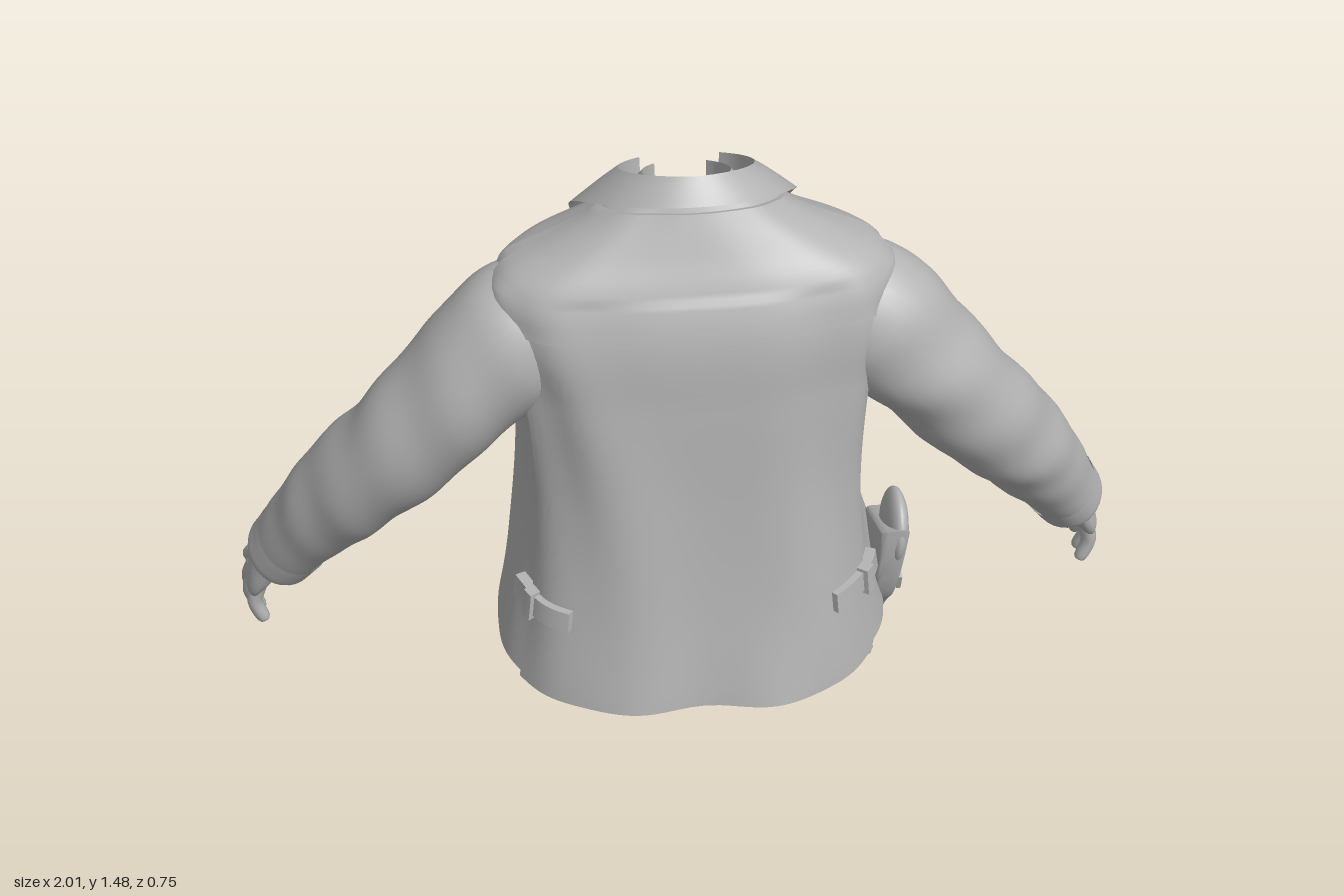
import * as THREE from 'three';
import { mergeVertices, toCreasedNormals } from 'three/addons/utils/BufferGeometryUtils.js';

const { sin, cos, abs, sign, PI, max, exp } = Math;
const cloth = new THREE.MeshStandardMaterial({ color: 0xb4b4b4, side: THREE.DoubleSide });
cloth.name = 'plain grey';

// Grid surface from a rule (u, v) -> [x, y, z]
function surface(fn, nu, nv) {
  const pos = [], idx = [];
  for (let j = 0; j <= nv; j++) for (let i = 0; i <= nu; i++) pos.push(...fn(i / nu, j / nv));
  for (let j = 0; j < nv; j++) for (let i = 0; i < nu; i++) {
    const a = j * (nu + 1) + i, b = a + nu + 1;
    idx.push(a, b, a + 1, b, b + 1, a + 1);
  }
  let g = new THREE.BufferGeometry();
  g.setAttribute('position', new THREE.Float32BufferAttribute(pos, 3));
  g.setIndex(idx);
  g = mergeVertices(g, 1e-5);
  g.computeVertexNormals();
  return g;
}

// Smooth interpolation through rows of numbers
function spline(rows, params) {
  const it = new THREE.CubicInterpolant(params, rows.flat(), rows[0].length);
  return t => Array.from(it.evaluate(t));
}

// Tube of elliptical rings; keys are [x, y, z, radius along z, radius across]
function loft(keys, nu = 20, nv = 24, wrinkle = 0) {
  const at = spline(keys, keys.map((k, i) => i)), n = keys.length - 1;
  return surface((u, v) => {
    const t = v * n, k = at(t);
    const p0 = at(max(0, t - 0.05)), p1 = at(Math.min(n, t + 0.05));
    const dir = new THREE.Vector3(p1[0] - p0[0], p1[1] - p0[1], p1[2] - p0[2]).normalize();
    const n1 = new THREE.Vector3(0, 0, 1).addScaledVector(dir, -dir.z).normalize();
    const n2 = dir.clone().cross(n1);
    const a = u * 2 * PI;
    const r = 1 + wrinkle * sin(PI * v) * (sin(v * 42 + 2 * sin(a)) + 0.7 * sin(v * 23 + 3 * a));
    const c = k[3] * r * cos(a), s = k[4] * r * sin(a);
    return [0, 1, 2].map(i => k[i] + n1.getComponent(i) * c + n2.getComponent(i) * s);
  }, nu, nv);
}

// Body shell: rows are [y, half width, front z, back z, tilt, front and back roundness];
// angle 0 is the chest centre (-z), flare swings the left front hem out over the holster
function shell(rows, folds, flare = 0) {
  const at = spline(rows, rows.map(r => r[0]));
  return (th, y, off = 0) => {
    const [, w, f, b, tilt, pf, pb] = at(y), s = sin(th), c = cos(th), zc = 0.03;
    const hem = max(0, (1 - y) / 0.7);
    const swing = hem ** 3 * exp(-(((th - 1) / 0.4) ** 2));
    off += folds * (sin(5 * th + 4 * y) + 0.7 * sin(9 * th - 6 * y)) * (y < 1.25 ? 1 : 0.4) + flare * swing;
    const p = c > 0 ? pf : pb;
    const x = (w + off) * sign(s) * abs(s) ** p;
    const depth = c > 0 ? f - zc - off : b - zc + off;
    let z = zc + depth * abs(c) ** p;
    if (c < 0) z -= folds * 3 * hem * hem * cos(2 * PI * x / 0.34) * c * c;
    return [x, y + tilt * z + flare * swing, z];
  };
}
const jacketAt = shell([
  [0.275, 0.43, -0.295, 0.355, -0.04, 0.8, 0.8],
  [0.50, 0.39, -0.285, 0.322, -0.03, 0.8, 0.75],
  [0.75, 0.365, -0.28, 0.297, 0, 0.8, 0.7],
  [1.00, 0.375, -0.255, 0.278, 0, 0.85, 0.6],
  [1.17, 0.40, -0.235, 0.26, 0, 1.1, 0.55],
  [1.265, 0.38, -0.21, 0.225, 0.03, 1.45, 0.6],
  [1.30, 0.30, -0.195, 0.2, 0.12, 1.45, 0.7],
  [1.335, 0.22, -0.175, 0.175, 0.25, 1.2, 0.8],
  [1.37, 0.155, -0.15, 0.15, 0.4, 0.9, 0.9]], 0.005, 0.05);
const shirtAt = shell([
  [0.45, 0.33, -0.272, 0.25, 0, 0.8, 0.8],
  [0.80, 0.33, -0.265, 0.25, 0, 0.8, 0.8],
  [1.17, 0.33, -0.215, 0.22, 0, 0.9, 0.8],
  [1.28, 0.17, -0.165, 0.15, 0.2, 0.9, 0.8],
  [1.33, 0.085, -0.14, 0.10, 0.45, 0.9, 0.9]], 0.002);

// Raised patch lying on a shell, its border tucked down onto the cloth
function patch(at, t0, t1, yLow, yHigh, off, nu = 24, nv = 24) {
  return toCreasedNormals(surface((u, v) => {
    const edge = u === 0 || u === 1 || v === 0 || v === 1;
    const fit = (q, n) => THREE.MathUtils.clamp((q * n - 1) / (n - 2), 0, 1);
    const a = fit(u, nu), lo = typeof yLow === 'function' ? yLow(a) : yLow;
    return at(t0 + (t1 - t0) * a, lo + (yHigh - lo) * fit(v, nv), edge ? 0 : off);
  }, nu, nv), 0.7);
}

// Folded collar: neck band up, over the top and down to the pointed leaf
function collar(sx, sz, dy) {
  return toCreasedNormals(surface((u, v) => {
    const keys = [[0.13, 0.14, 1.33, 0.45, 2.5], [0.14, 0.155, 1.41, 0.5, 2.5], [0.215, 0.195, 1.36, 0.4, 2.2]];
    const k = v < 0.5 ? 0 : 1, t = v * 2 - k;
    const m = keys[k].map((q, i) => q + (keys[k + 1][i] - q) * t);
    const side = abs(u * 2 - 1), leaf = k * t;
    const phi = (u * 2 - 1) * m[4], z = -0.02 + m[1] * sz * cos(phi) - 0.025 * leaf * side ** 4;
    const x = m[0] * sx * sin(phi) * (1 + 0.3 * leaf * side ** 4);
    const arch = 0.02 * sin(PI * v) * (k ? 1 : 0) * side;
    return [x, m[2] + m[3] * z - 0.075 * leaf * side ** 5 + arch + dy, z];
  }, 48, 12), 0.8);
}

export function createModel() {
  const model = new THREE.Group();
  const add = (name, geo, parent = model) => {
    const m = new THREE.Mesh(geo, cloth);
    m.name = name;
    parent.add(m);
    return m;
  };

  // Open-fronted jacket
  add('jacketBody', surface((u, v) => {
    const y = 0.275 + 1.095 * v, open = THREE.MathUtils.smoothstep(y, 1.0, 1.27) * 0.25;
    const start = 0.15 + open, end = 2 * PI - 0.18 - open;
    return jacketAt(start + (end - start) * u, y);
  }, 120, 64));
  add('backPanel', patch(jacketAt, 2.05, 2 * PI - 2.05, 0.272, 1.18, 0.008, 60, 50));
  add('backYoke', patch(jacketAt, 1.65, 2 * PI - 1.65, 1.165, 1.355, 0.011, 60, 24));
  add('jacketCollar', collar(1, 1, 0));

  // Shirt with placket and buttons
  add('shirt', surface((u, v) => shirtAt(u * 2 * PI, 0.45 + 0.88 * v), 80, 40));
  add('shirtCollar', collar(0.65, 0.85, -0.015));
  add('placket', patch(shirtAt, -0.09, 0.03, 0.45, 1.26, 0.007, 8, 30));
  for (let i = 0; i < 8; i++) {
    const b = add('shirtButton', new THREE.CylinderGeometry(0.011, 0.011, 0.01, 12));
    b.position.set(...shirtAt(-0.035, 0.49 + i * 0.103, 0.01));
    b.rotation.x = PI / 2;
  }

  for (const s of [1, -1]) {
    const side = s > 0 ? 'left' : 'right';
    const turn = a => (s > 0 ? a : 2 * PI - a);
    const mir = keys => keys.map(([x, ...rest]) => [x * s, ...rest]);

    // Pocket flap and waist strap with buckle
    add(side + 'PocketFlap', patch(jacketAt, turn(0.42), turn(1.2),
      a => 0.545 - 0.045 * (1 - abs(2 * a - 1)), 0.61, 0.012, 24, 10));
    add(side + 'WaistStrap', patch(jacketAt, turn(1.86), turn(2.48), 0.46, 0.507, 0.022, 20, 6));
    add(side + 'Buckle', patch(jacketAt, turn(2.06), turn(2.16), 0.452, 0.515, 0.032, 6, 6));

    // Sleeve and cuff
    const arm = new THREE.Group();
    arm.name = side + 'Arm';
    model.add(arm);
    add('sleeve', loft(mir([
      [0.26, 1.13, 0.08, 0.11, 0.12],
      [0.355, 1.1, 0.085, 0.145, 0.155],
      [0.485, 0.97, 0.08, 0.145, 0.135],
      [0.62, 0.80, 0.045, 0.135, 0.125],
      [0.74, 0.64, -0.03, 0.125, 0.113],
      [0.83, 0.50, -0.10, 0.105, 0.093],
      [0.90, 0.375, -0.16, 0.088, 0.077]]), 32, 80, 0.02), arm);
    add('cuff', loft(mir([
      [0.868, 0.432, -0.133, 0.098, 0.087],
      [0.885, 0.402, -0.147, 0.096, 0.084],
      [0.902, 0.372, -0.162, 0.09, 0.08],
      [0.904, 0.369, -0.163, 0.06, 0.05],
      [0.90, 0.376, -0.16, 0.045, 0.035]]), 32, 12), arm);

    // Hand: palm, four fingers and thumb
    add('palm', loft(mir([
      [0.885, 0.41, -0.145, 0.048, 0.038],
      [0.915, 0.355, -0.175, 0.048, 0.035],
      [0.942, 0.30, -0.215, 0.066, 0.034],
      [0.965, 0.25, -0.24, 0.064, 0.024],
      [0.97, 0.23, -0.248, 0.03, 0.01]]), 20, 20), arm);
    const fingers = [
      [[0.958, 0.28, -0.275], [0.98, 0.235, -0.33], [0.97, 0.195, -0.368]],
      [[0.966, 0.262, -0.265], [0.986, 0.19, -0.302], [0.973, 0.13, -0.333]],
      [[0.967, 0.25, -0.24], [0.984, 0.185, -0.26], [0.966, 0.127, -0.272]],
      [[0.96, 0.25, -0.205], [0.973, 0.195, -0.205], [0.957, 0.145, -0.203]],
      [[0.925, 0.33, -0.21], [0.897, 0.335, -0.285], [0.862, 0.31, -0.345]]];
    fingers.forEach(([a, b, c], i) => {
      const tip = c.map((q, j) => q + (q - b[j]) * 0.12);
      add(i < 4 ? 'finger' : 'thumb', loft(mir([
        [...a, 0.022, 0.021], [...b, 0.019, 0.018], [...c, 0.015, 0.015], [...tip, 0.001, 0.001]]), 10, 15), arm);
    });
  }

  // Holster hanging at the hip
  const holster = new THREE.Group();
  holster.name = 'holster';
  model.add(holster);
  const outline = new THREE.Shape();
  outline.moveTo(-0.10, 0.50);
  outline.quadraticCurveTo(-0.08, 0.33, -0.03, 0.27);
  outline.quadraticCurveTo(0.045, 0.19, 0.06, 0.11);
  outline.lineTo(0.07, 0.02);
  outline.lineTo(0.115, 0.01);
  outline.lineTo(0.145, 0.2);
  outline.quadraticCurveTo(0.14, 0.32, 0.09, 0.42);
  const body = new THREE.ExtrudeGeometry(outline, {
    depth: 0.025, bevelSize: 0.009, bevelThickness: 0.012, bevelSegments: 3, curveSegments: 10 });
  body.rotateY(PI / 2);
  const p = body.attributes.position;
  for (let i = 0; i < p.count; i++) {
    const y = p.getY(i), wide = 0.8 + y;
    p.setX(i, 0.42 + 0.06 * y + (p.getX(i) - 0.0125) * wide);
  }
  add('holsterBody', toCreasedNormals(body, 0.7), holster);
  const pad = add('holsterFlap', new THREE.SphereGeometry(1, 24, 16), holster);
  pad.scale.set(0.028, 0.09, 0.085);
  pad.position.set(0.46, 0.465, 0.025);
  pad.rotation.set(0.3, 0, -0.08);
  const band = add('holsterStrap', new THREE.BoxGeometry(0.01, 0.045, 0.16), holster);
  band.position.set(0.47, 0.36, -0.005);
  band.rotation.x = 0.35;
  const stud = add('holsterStud', new THREE.CylinderGeometry(0.013, 0.013, 0.012, 16), holster);
  stud.position.set(0.476, 0.362, -0.01);
  stud.rotation.z = PI / 2;

  return model;
}
